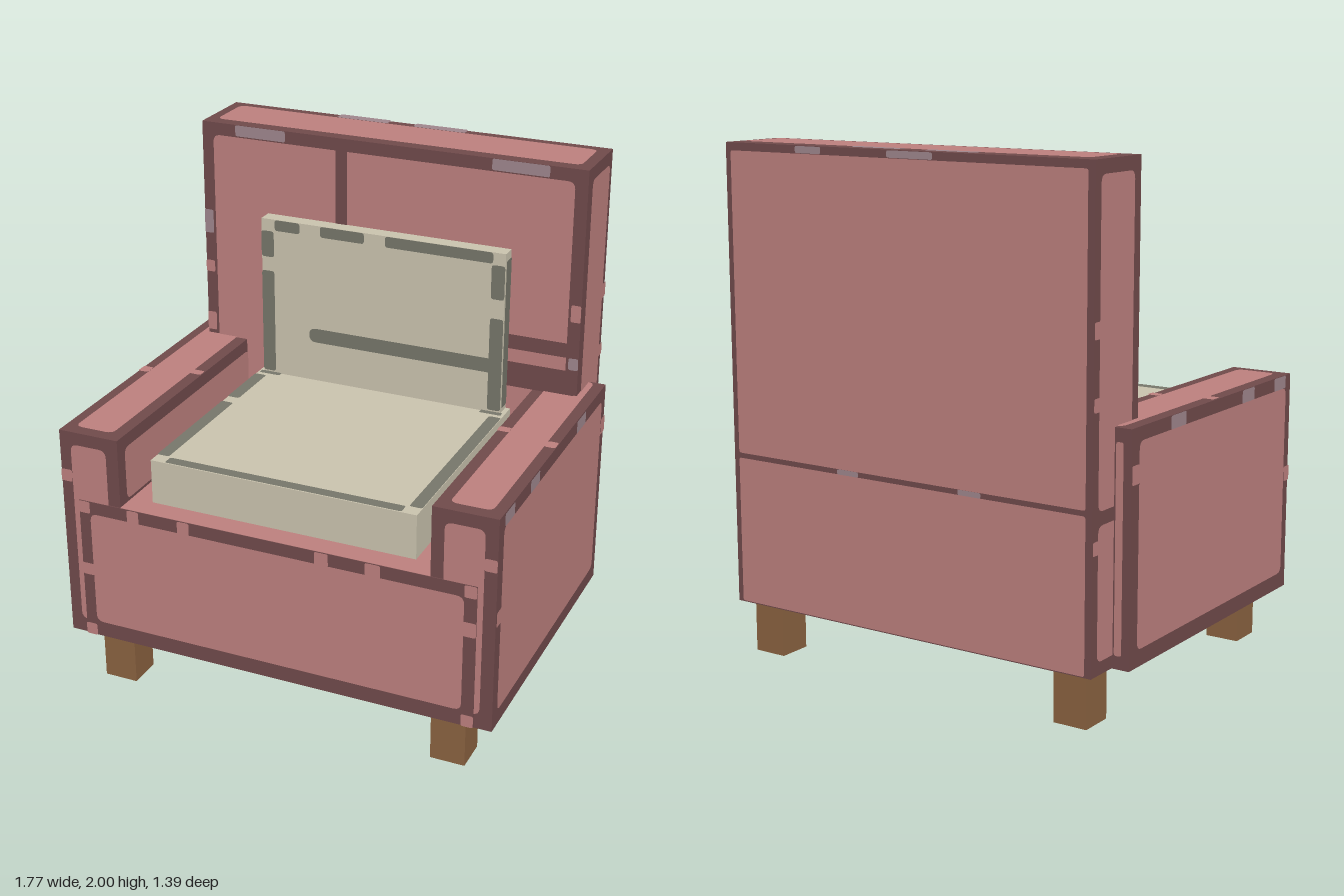
import * as THREE from 'three';

const mat = (name, color) => {
  const m = new THREE.MeshStandardMaterial({ color });
  m.name = name;
  return m;
};

// Rounded rectangle centred on the origin
function roundedRect(w, h, r) {
  const s = new THREE.Shape(), x = w / 2, y = h / 2;
  s.moveTo(-x + r, -y);
  s.lineTo(x - r, -y); s.quadraticCurveTo(x, -y, x, -y + r);
  s.lineTo(x, y - r); s.quadraticCurveTo(x, y, x - r, y);
  s.lineTo(-x + r, y); s.quadraticCurveTo(-x, y, -x, y - r);
  s.lineTo(-x, -y + r); s.quadraticCurveTo(-x, -y, -x + r, -y);
  return s;
}

export function createModel() {
  const rose = mat('rose fabric', 0xbd807e);
  const piping = mat('dark rose edging', 0x704a4b);
  const worn = mat('worn edging', 0x9f868d);
  const cream = mat('cream cushion', 0xcac3ae);
  const shade = mat('cushion edging', 0x76766a);
  const wood = mat('wood', 0x8a6240);

  const model = new THREE.Group();
  const group = (name) => {
    const g = new THREE.Group();
    g.name = name;
    model.add(g);
    return g;
  };

  const box = (g, name, m, [x0, x1], [y0, y1], [z0, z1]) => {
    const geo = new THREE.BoxGeometry(Math.abs(x1 - x0), y1 - y0, z1 - z0);
    geo.translate((x0 + x1) / 2, (y0 + y1) / 2, (z0 + z1) / 2);
    const mesh = new THREE.Mesh(geo, m);
    mesh.name = name;
    g.add(mesh);
  };

  // Flat painted patch just off a surface. The ranges a, b are (x,y) on z faces,
  // (z,y) on x faces and (x,z) on y faces.
  const patch = (g, name, m, dir, at, a, b, r = 0.03, lift = 0.003) => {
    const w = Math.abs(a[1] - a[0]), h = Math.abs(b[1] - b[0]);
    const ca = (a[0] + a[1]) / 2, cb = (b[0] + b[1]) / 2;
    const sign = dir[0] === '+' ? 1 : -1, p = at + sign * lift;
    const geo = new THREE.ShapeGeometry(roundedRect(w, h, Math.min(r, w / 2.01, h / 2.01)), 4);
    if (dir[1] === 'z') {
      if (sign < 0) geo.rotateY(Math.PI);
      geo.translate(ca, cb, p);
    } else if (dir[1] === 'x') {
      geo.rotateY(sign * Math.PI / 2);
      geo.translate(p, cb, ca);
    } else {
      geo.rotateX(-sign * Math.PI / 2);
      geo.translate(ca, p, cb);
    }
    const mesh = new THREE.Mesh(geo, m);
    mesh.name = name;
    g.add(mesh);
  };
  // Short worn marks along an edging
  const marks = (g, m, dir, at, list) => {
    for (const [a0, a1, b0, b1] of list) patch(g, 'wornMark', m, dir, at, [a0, a1], [b0, b1], 0.008, 0.004);
  };

  // Backrest with edging left bare around the panels
  const back = group('backrest');
  box(back, 'backrestBody', piping, [-0.81, 0.81], [0.21, 2], [-0.69, -0.39]);
  patch(back, 'backrestFront', rose, '+z', -0.39, [-0.76, 0.76], [0.8, 1.95]);
  patch(back, 'backrestTop', rose, '+y', 2, [-0.765, 0.765], [-0.645, -0.435]);
  patch(back, 'backrestRearUpper', rose, '-z', -0.69, [-0.785, 0.785], [0.81, 1.97], 0.01);
  patch(back, 'backrestRearLower', rose, '-z', -0.69, [-0.785, 0.785], [0.215, 0.79], 0.01);
  for (const s of [-1, 1]) {
    const dir = s > 0 ? '+x' : '-x';
    patch(back, 'backrestSideUpper', rose, dir, s * 0.81, [-0.655, -0.435], [0.8, 1.95]);
    patch(back, 'backrestSideLower', rose, dir, s * 0.81, [-0.655, -0.5], [0.26, 0.75]);
    marks(back, rose, dir, s * 0.81, [[-0.69, -0.65, 0.65, 0.7], [-0.69, -0.65, 1.15, 1.2], [-0.69, -0.65, 1.4, 1.46]]);
  }
  patch(back, 'verticalSeam', piping, '+z', -0.39, [-0.22, -0.17], [1.6, 1.97], 0.005, 0.006);
  patch(back, 'upperSeam', piping, '+z', -0.39, [0.45, 0.8], [1.24, 1.3], 0.005, 0.006);
  patch(back, 'lowerSeam', piping, '+z', -0.39, [0.45, 0.8], [1.08, 1.185], 0.005, 0.006);
  marks(back, worn, '+z', -0.39, [[-0.66, -0.44, 1.955, 2], [0.43, 0.66, 1.955, 2],
    [-0.81, -0.77, 1.53, 1.63], [0.77, 0.81, 1.19, 1.24]]);
  marks(back, rose, '+z', -0.39, [[-0.81, -0.77, 1.1, 1.18], [-0.81, -0.77, 1.36, 1.41], [0.77, 0.81, 1.39, 1.46]]);
  marks(back, worn, '+y', 2, [[-0.33, -0.11, -0.69, -0.645], [0, 0.22, -0.69, -0.645]]);
  marks(back, worn, '-z', -0.69, [[-0.15, 0.05, 1.972, 1.998], [0.35, 0.47, 1.972, 1.998],
    [-0.35, -0.25, 0.79, 0.81], [0.2, 0.3, 0.79, 0.81]]);

  // Mirrored arms
  for (const s of [-1, 1]) {
    const arm = group(s > 0 ? 'leftArm' : 'rightArm');
    const out = s > 0 ? '+x' : '-x', inn = s > 0 ? '-x' : '+x';
    box(arm, 'armBody', piping, [s * 0.63, s * 0.88], [0.21, 1.08], [-0.55, 0.688]);
    patch(arm, 'armOuterPanel', rose, out, s * 0.88, [-0.5, 0.645], [0.275, 1.03]);
    patch(arm, 'armInnerPanel', rose, inn, s * 0.63, [-0.39, 0.64], [0.815, 1.03]);
    patch(arm, 'armInnerLining', rose, inn, s * 0.63, [-0.39, 0.67], [0.215, 0.785], 0.002);
    patch(arm, 'armTopPanel', rose, '+y', 1.08, [s * 0.677, s * 0.837], [-0.54, 0.64]);
    patch(arm, 'armFrontPanel', rose, '+z', 0.688, [s * 0.68, s * 0.832], [0.27, 1.03]);
    patch(arm, 'armRearPanel', rose, '-z', -0.55, [s * 0.82, s * 0.85], [0.26, 1.03], 0.01);
    marks(arm, worn, out, s * 0.88, [[0.54, 0.64, 1.03, 1.08], [0.27, 0.37, 1.03, 1.08], [-0.28, -0.17, 1.03, 1.08]]);
    marks(arm, rose, out, s * 0.88, [[0.645, 0.69, 0.65, 0.71], [-0.55, -0.5, 0.88, 0.95]]);
    marks(arm, rose, '+y', 1.08, [[s * 0.837, s * 0.88, 0.04, 0.09], [s * 0.63, s * 0.677, -0.01, 0.03]]);
    marks(arm, rose, '+z', 0.688, [[s * 0.832, s * 0.88, 0.87, 0.92]]);
  }

  // Open-bottomed seat base: front board and a deck with a hole under the cushion
  const base = group('seatBase');
  box(base, 'frontBoard', piping, [-0.81, 0.81], [0.21, 0.8], [0.675, 0.692]);
  patch(base, 'frontPanel', rose, '+z', 0.692, [-0.762, 0.762], [0.275, 0.75]);
  patch(base, 'frontLining', rose, '-z', 0.675, [-0.63, 0.63], [0.215, 0.785], 0.002);
  marks(base, rose, '+z', 0.692, [[-0.6, -0.55, 0.745, 0.8], [-0.385, -0.335, 0.745, 0.8], [0.18, 0.235, 0.745, 0.8],
    [0.38, 0.44, 0.745, 0.8], [-0.81, -0.757, 0.48, 0.53], [0.757, 0.81, 0.59, 0.65],
    [-0.81, -0.762, 0.21, 0.26], [0.762, 0.81, 0.21, 0.26], [-0.81, -0.762, 0.75, 0.8], [0.762, 0.81, 0.75, 0.8]]);
  const rect = (P, x, z0, z1) => new P([[-x, z0], [x, z0], [x, z1], [-x, z1]].map(([u, v]) => new THREE.Vector2(u, v)));
  const deckShape = rect(THREE.Shape, 0.63, -0.69, 0.395);
  deckShape.holes.push(rect(THREE.Path, 0.53, -0.59, 0.38));
  const deckGeo = new THREE.ExtrudeGeometry(deckShape, { depth: 0.012, bevelEnabled: false });
  deckGeo.rotateX(-Math.PI / 2).translate(0, 0.789, 0);
  const deck = new THREE.Mesh(deckGeo, rose);
  deck.name = 'seatDeck';
  base.add(deck);

  // Seat cushion with edging on top
  const seat = group('seatCushion');
  box(seat, 'seatCushionBody', cream, [-0.54, 0.54], [0.8, 0.98], [-0.39, 0.6]);
  for (const s of [-1, 1]) {
    patch(seat, 'sideEdging', shade, '+y', 0.98, [s * 0.49, s * 0.54], s < 0 ? [0.02, 0.55] : [-0.28, 0.55], 0.01);
    patch(seat, 'rearCornerEdging', shade, '+y', 0.98, [s * 0.44, s * 0.53], [-0.325, -0.3], 0.005);
  }
  patch(seat, 'sideEdging', shade, '+y', 0.98, [-0.54, -0.49], [-0.28, -0.03], 0.01);
  patch(seat, 'frontEdging', shade, '+y', 0.98, [-0.48, 0.48], [0.555, 0.6], 0.01);

  // Back cushion with edging and a stitched stripe
  const pillow = group('backCushion');
  box(pillow, 'backCushionBody', cream, [-0.52, 0.52], [0.98, 1.65], [-0.39, -0.325]);
  const edging = [[-0.52, -0.465, 0.99, 1.43], [-0.52, -0.465, 1.49, 1.6], [0.465, 0.52, 0.99, 1.38],
    [0.465, 0.52, 1.46, 1.6], [-0.46, -0.35, 1.605, 1.65], [-0.26, -0.07, 1.605, 1.65], [0.02, 0.47, 1.605, 1.65]];
  for (const [a0, a1, b0, b1] of edging) patch(pillow, 'cushionEdging', shade, '+z', -0.325, [a0, a1], [b0, b1], 0.012);
  patch(pillow, 'cushionStripe', shade, '+z', -0.325, [-0.31, 0.515], [1.15, 1.21], 0.029, 0.004);
  for (const s of [-1, 1])
    patch(pillow, 'cushionSideEdging', shade, s > 0 ? '+x' : '-x', s * 0.52, [-0.385, -0.33], [1, 1.62], 0.01);

  // Four square legs
  const legs = group('legs');
  for (const sx of [-1, 1])
    for (const z of [0.578, -0.575])
      box(legs, z > 0 ? 'frontLeg' : 'backLeg', wood, [sx * 0.628, sx * 0.765], [0, 0.212], [z - 0.068, z + 0.068]);

  return model;
}
